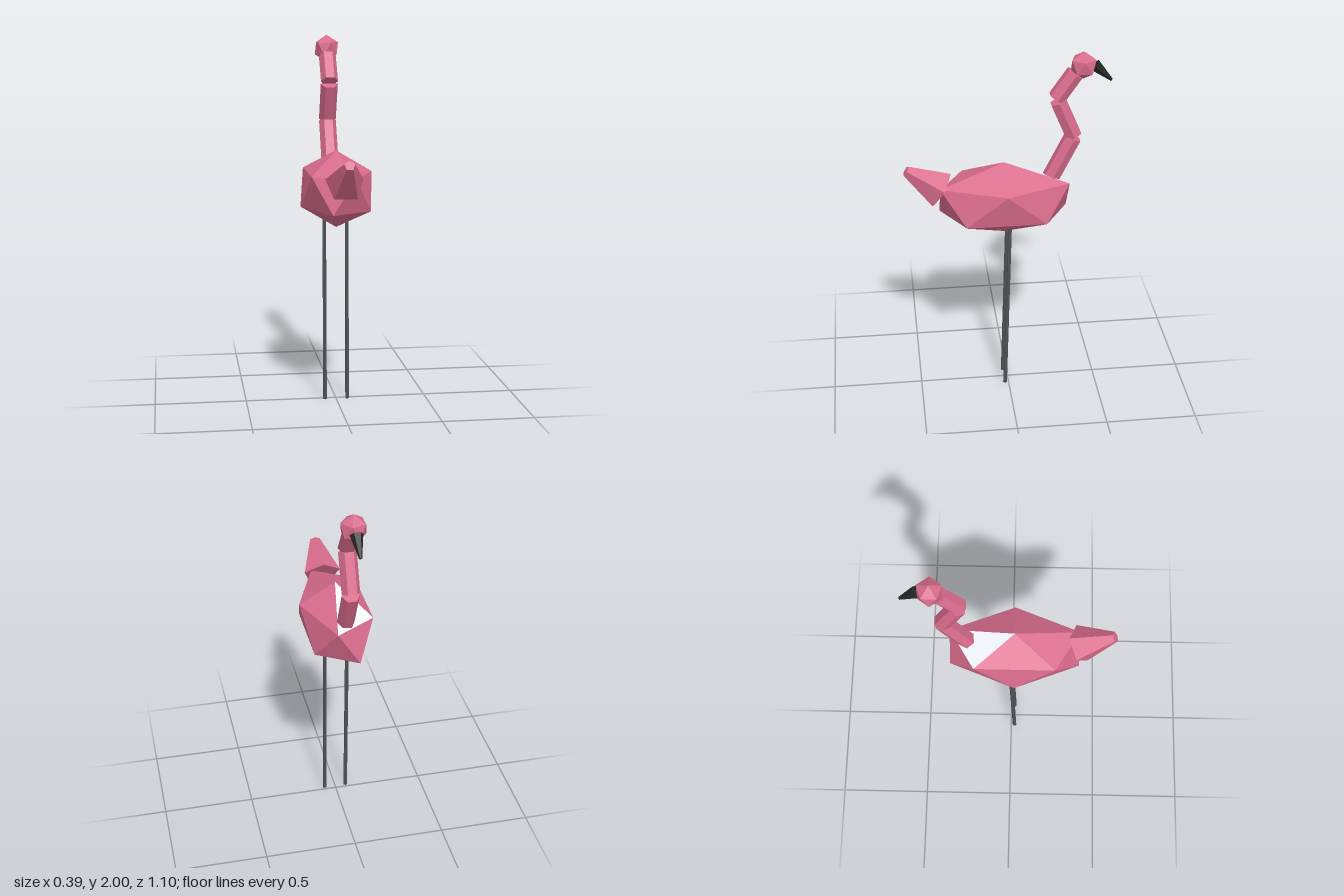
import * as THREE from 'three';

const mat = (color) => new THREE.MeshStandardMaterial({ color, flatShading: true });

// Icosahedron standing on a corner, stretched to radii rx, ry, rz.
// Returns a flat list of triangles, each an array of three Vector3.
function icoFaces(rx, ry, rz) {
  const ringY = ry * 0.447;
  const upper = [], lower = [];
  for (let k = 0; k < 5; k++) {
    const a = (k * Math.PI * 2) / 5;
    const p = new THREE.Vector3(rx * Math.cos(a), ringY, rz * Math.sin(a));
    upper.push(p);
    lower.push(p.clone().negate());
  }
  const top = new THREE.Vector3(0, ry, 0), bottom = new THREE.Vector3(0, -ry, 0);
  const faces = [];
  for (let k = 0; k < 5; k++) {
    const n = (k + 1) % 5;
    const l0 = lower[(k + 3) % 5], l1 = lower[(k + 2) % 5], l2 = lower[(k + 4) % 5];
    faces.push([top, upper[n], upper[k]]);
    faces.push([bottom, l0, l2]);
    faces.push([upper[k], upper[n], l0]);
    faces.push([upper[k], l0, l1]);
  }
  // make every triangle face outwards
  for (const f of faces) {
    const normal = f[1].clone().sub(f[0]).cross(f[2].clone().sub(f[0]));
    if (normal.dot(f[0].clone().add(f[1]).add(f[2])) < 0) f.reverse();
  }
  return faces;
}

function faceMesh(name, faces, material, pos) {
  const geo = new THREE.BufferGeometry().setFromPoints(faces.flat());
  geo.computeVertexNormals();
  const mesh = new THREE.Mesh(geo, material);
  mesh.name = name;
  mesh.position.set(...pos);
  return mesh;
}

// Tapered prism from point a to point b; spin turns its corners about the axis.
function prism(name, a, b, ra, rb, sides, spin, material) {
  const from = new THREE.Vector3(...a), to = new THREE.Vector3(...b);
  const dir = to.clone().sub(from);
  const geo = new THREE.CylinderGeometry(rb, ra, dir.length(), sides).rotateY(spin);
  const mesh = new THREE.Mesh(geo, material);
  mesh.name = name;
  mesh.quaternion.setFromUnitVectors(new THREE.Vector3(0, 1, 0), dir.normalize());
  mesh.position.copy(from).add(to).multiplyScalar(0.5);
  return mesh;
}

export function createModel() {
  const model = new THREE.Group();
  model.name = 'wadingBird';
  const pink = mat(0xd96c8c), white = mat(0xf2f6fc), grey = mat(0x505254), black = mat(0x262626);

  // body, with one pale facet on the back at the foot of the neck
  const bodyPos = [0, 1.18, 0.018];
  const faces = icoFaces(0.195, 0.21, 0.365);
  const pale = faces.filter((f) => {
    const c = f[0].clone().add(f[1]).add(f[2]).divideScalar(3);
    return c.y > 0.1 && c.z < -0.1 && c.x < 0;
  });
  model.add(faceMesh('body', faces.filter((f) => !pale.includes(f)), pink, bodyPos));
  model.add(faceMesh('backPatch', pale, white, bodyPos));

  // tail
  model.add(prism('tail', [0, 1.249, 0.36], [0, 1.368, 0.541], 0.105, 0.029, 5, Math.PI, pink));

  // neck of three hexagonal segments
  const neck = new THREE.Group();
  neck.name = 'neck';
  const segments = [
    [[0, 1.27, -0.225], [0, 1.521, -0.349]],
    [[0, 1.53, -0.352], [0, 1.73, -0.267]],
    [[0, 1.746, -0.257], [0, 1.884, -0.352]],
  ];
  segments.forEach(([a, b], i) =>
    neck.add(prism('neckSegment' + (i + 1), a, b, 0.048, 0.048, 6, Math.PI / 6, pink)));
  model.add(neck);

  // head and beak
  model.add(faceMesh('head', icoFaces(0.066, 0.075, 0.066), pink, [0, 1.925, -0.395]));
  model.add(prism('beak', [0, 1.922, -0.456], [0, 1.837, -0.545], 0.034, 0.008, 6, Math.PI / 6, black));

  // legs, leaning slightly
  for (const [name, s] of [['leftLeg', 1], ['rightLeg', -1]]) {
    model.add(prism(name, [s * 0.062, 0, 0.02], [s * 0.062, 1.03, -0.007], 0.011, 0.011, 6, 0, grey));
  }
  return model;
}
